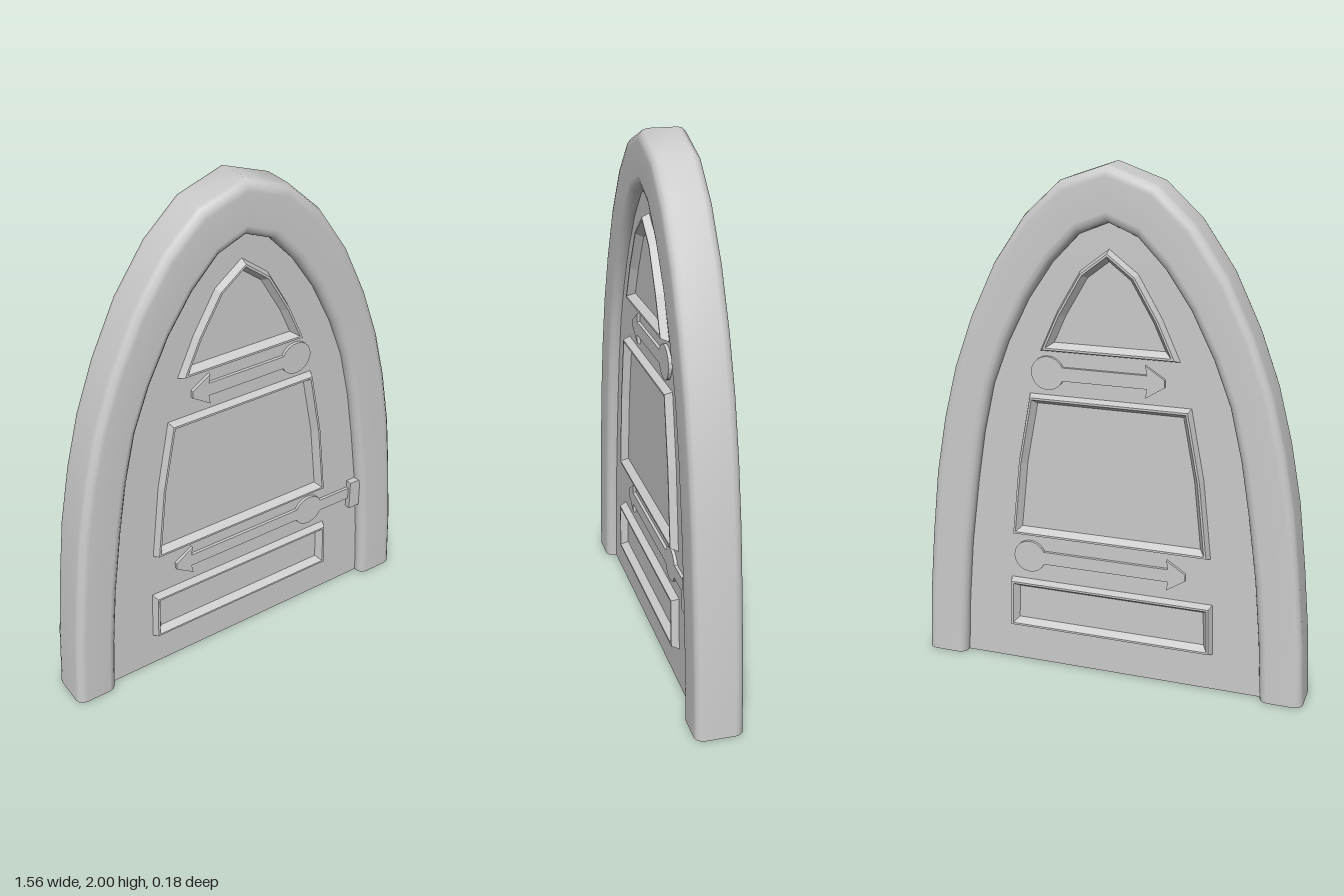
import * as THREE from 'three';

const mat = new THREE.MeshStandardMaterial({ color: 0xcccccc });
const DOOR_Z = 0.05, FRAME_Z = 0.09;

// Arch stations from the foot to the apex: outer x, y, inner x, y
const half = [
  [0.778, 0, 0.61, 0], [0.765, 0.25, 0.597, 0.24], [0.74, 0.52, 0.575, 0.49],
  [0.71, 0.78, 0.54, 0.75], [0.667, 1.01, 0.506, 0.96], [0.614, 1.217, 0.46, 1.16],
  [0.54, 1.42, 0.395, 1.33], [0.44, 1.63, 0.31, 1.5], [0.317, 1.81, 0.215, 1.64],
  [0.18, 1.937, 0.11, 1.75], [0, 2, 0, 1.795],
];
const mirrorX = ([ox, oy, ix, iy]) => [-ox, oy, -ix, iy];
const stations = [...half, ...half.slice(0, -1).reverse().map(mirrorX)];

const v2 = (pts) => pts.map(([x, y]) => new THREE.Vector2(x, y));
const between = ([ox, oy, ix, iy], t) => [ix + (ox - ix) * t, iy + (oy - iy) * t];

function add(parent, name, geometry) {
  const mesh = new THREE.Mesh(geometry, mat);
  mesh.name = name;
  parent.add(mesh);
  return mesh;
}

function bufferFrom(positions, index) {
  const g = new THREE.BufferGeometry();
  g.setAttribute('position', new THREE.Float32BufferAttribute(positions, 3));
  if (index) g.setIndex(index);
  g.computeVertexNormals();
  return g;
}

// Rounded rectangular section: t runs from inner (0) to outer (1)
function frameSection() {
  const pts = [], rt = 0.2, rz = 0.034;
  [[1, -1, -90], [1, 1, 0], [0, 1, 90], [0, -1, 180]].forEach(([t, s, start]) => {
    for (let k = 0; k <= 3; k++) {
      const a = THREE.MathUtils.degToRad(start + k * 30);
      pts.push([(t ? 1 - rt : rt) + rt * Math.cos(a), s * (FRAME_Z - rz) + rz * Math.sin(a)]);
    }
  });
  return pts;
}

function buildFrame(root) {
  const section = frameSection(), n = section.length;
  const pos = [], index = [];
  stations.forEach((st, i) => {
    section.forEach(([t, z], j) => {
      pos.push(...between(st, t), z);
      if (i === stations.length - 1) return;
      const a = i * n + j, b = i * n + (j + 1) % n;
      index.push(a, a + n, b, b, a + n, b + n);
    });
  });
  const frame = new THREE.Group();
  frame.name = 'frame';
  add(frame, 'archMoulding', bufferFrom(pos, index));
  // Flat feet
  [stations[0], stations[stations.length - 1]].forEach((st) => {
    const foot = new THREE.Shape(v2(section.map(([t, z]) => [between(st, t)[0], z])));
    add(frame, 'frameFoot', new THREE.ShapeGeometry(foot).rotateX(Math.PI / 2));
  });
  root.add(frame);
}

// Offset a convex counter-clockwise polygon inwards
function inset(pts, d) {
  const n = pts.length;
  const normal = (a, b) => new THREE.Vector2(a.y - b.y, b.x - a.x).normalize();
  return pts.map((p, i) => {
    const n1 = normal(pts[(i + n - 1) % n], p), n2 = normal(p, pts[(i + 1) % n]);
    return p.clone().addScaledVector(n1.clone().add(n2), d / (1 + n1.dot(n2)));
  });
}

// Panel outlines: right-hand points from bottom to top, mirrored
const symmetric = (right) => v2([
  ...right,
  ...right.filter(([x]) => x > 0).reverse().map(([x, y]) => [-x, y]),
]);
const panels = {
  topPanel: symmetric([[0.27, 1.305], [0.2, 1.46], [0.11, 1.615], [0, 1.7]]),
  middlePanel: symmetric([[0.4, 0.55], [0.367, 0.86], [0.315, 1.135]]),
  bottomPanel: symmetric([[0.418, 0.15], [0.412, 0.36]]),
};

// Raised moulding around a panel: steep outer wall, crest, inner slope
function buildTrim(side, name, outer) {
  const loops = [[0, 0], [0.01, 0.028], [0.018, 0.028], [0.036, 0]].map(([d, h]) =>
    inset(outer, d).map((p) => [p.x, p.y, DOOR_Z + h]));
  const pos = [], n = outer.length;
  for (let l = 0; l < loops.length - 1; l++) {
    for (let i = 0; i < n; i++) {
      const k = (i + 1) % n, p = loops[l], q = loops[l + 1];
      pos.push(...p[i], ...p[k], ...q[k], ...p[i], ...q[k], ...q[i]);
    }
  }
  add(side, name + 'Trim', bufferFrom(pos));
}

// Arrow-shaped strap with a round disc; s flips it for the back
function buildStrap(side, name, s, { cx, cy, tip, end }) {
  const r = 0.065, w = 0.026, neck = tip + 0.068;
  const a0 = Math.asin(w / r), pts = [];
  pts.push([neck, -w], [neck + 0.006, -0.062], [tip, -0.014], [tip, 0.014], [neck + 0.006, 0.062], [neck, w]);
  const arc = (from, to, steps) => {
    for (let i = 0; i <= steps; i++) {
      const a = from + (to - from) * i / steps;
      pts.push([cx + r * Math.cos(a), r * Math.sin(a)]);
    }
  };
  if (end) {
    arc(Math.PI - a0, a0, 8);
    pts.push([end, w], [end, -w]);
    arc(-a0, a0 - Math.PI, 8);
  } else {
    arc(Math.PI - a0, a0 - Math.PI, 18);
  }
  const shape = new THREE.Shape(v2(pts.map(([x, y]) => [x * s, y + cy])));
  const geo = new THREE.ExtrudeGeometry(shape, { depth: 0.012, bevelEnabled: false });
  add(side, name, geo.translate(0, 0, DOOR_Z));
}

function buildSide(root, name, s) {
  const side = new THREE.Group();
  side.name = name;
  const face = new THREE.Shape(v2(stations.map((st) => between(st, 0.08))));
  add(side, 'doorFace', new THREE.ShapeGeometry(face).translate(0, 0, DOOR_Z));
  for (const [key, outline] of Object.entries(panels)) buildTrim(side, key, outline);

  buildStrap(side, 'upperStrap', s, { cx: 0.24, cy: 1.222, tip: -0.215 });
  buildStrap(side, 'lowerStrap', s, { cx: 0.328, cy: 0.462, tip: -0.305, end: s > 0 ? 0.54 : 0 });
  // Hinge block only on the front
  if (s > 0) add(side, 'hingeBlock', new THREE.BoxGeometry(0.05, 0.13, 0.03)).position.set(0.557, 0.456, DOOR_Z + 0.01);
  else side.rotation.y = Math.PI;
  root.add(side);
}

export function createModel() {
  const root = new THREE.Group();
  root.name = 'archedDoor';
  buildFrame(root);
  buildSide(root, 'doorFront', 1);
  buildSide(root, 'doorBack', -1);
  add(root, 'doorBottomEdge', new THREE.PlaneGeometry(1.24, DOOR_Z * 2).rotateX(Math.PI / 2));
  return root;
}
